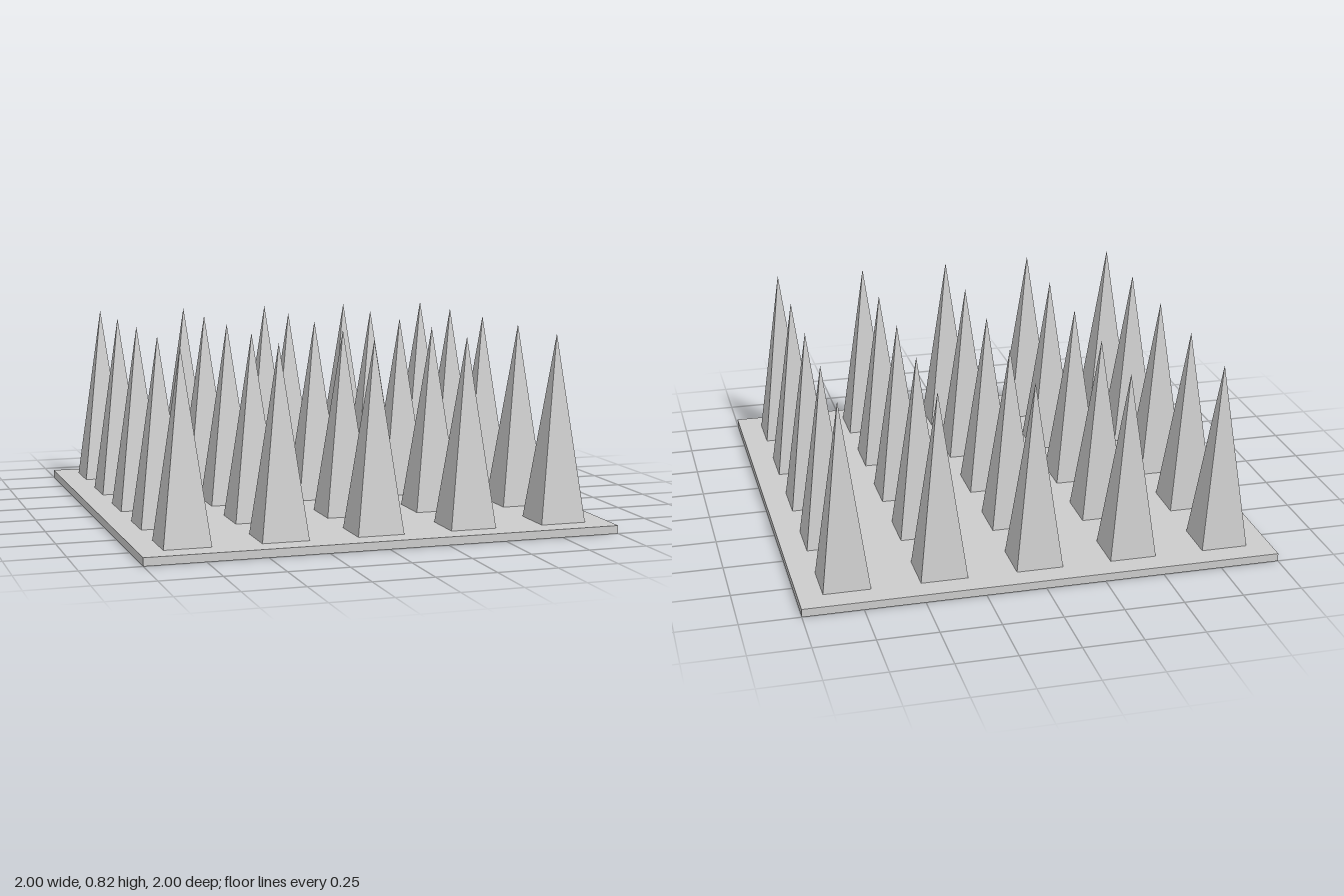
import * as THREE from 'three';

export function createModel() {
  const group = new THREE.Group();
  const material = new THREE.MeshStandardMaterial({ color: 0xcccccc, flatShading: true });

  // Thin square plate
  const thickness = 0.034;
  const plate = new THREE.Mesh(new THREE.BoxGeometry(2, thickness, 2), material);
  plate.name = 'basePlate';
  plate.position.y = thickness / 2;
  group.add(plate);

  // Square pyramid, sides aligned with the plate, rooted halfway into it
  const height = 0.8;
  const width = 0.2;
  const spikeGeometry = new THREE.ConeGeometry(width / Math.SQRT2, height, 4, 1);
  spikeGeometry.rotateY(Math.PI / 4);
  spikeGeometry.translate(0, height / 2 + thickness / 2, 0);

  // 5 x 5 grid of spikes
  const spikes = new THREE.Group();
  spikes.name = 'spikes';
  for (let row = -2; row <= 2; row++) {
    for (let column = -2; column <= 2; column++) {
      const spike = new THREE.Mesh(spikeGeometry, material);
      spike.name = 'spike';
      spike.position.set(column * 0.4, 0, row * 0.4);
      spikes.add(spike);
    }
  }
  group.add(spikes);

  return group;
}
